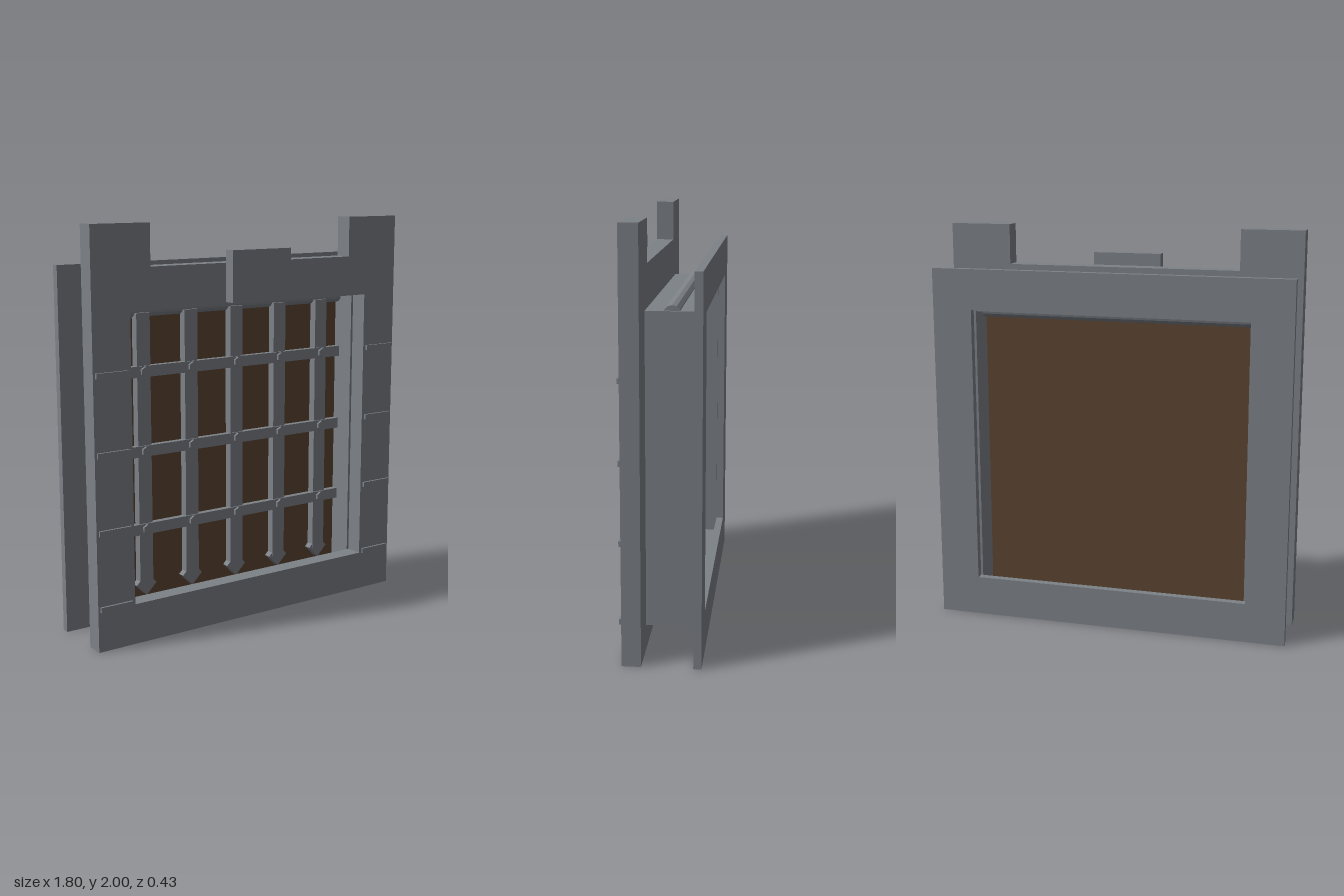
import * as THREE from 'three';

const steel = new THREE.MeshStandardMaterial({ color: 0x7d8288 });
steel.name = 'grey steel';
const wood = new THREE.MeshStandardMaterial({ color: 0x5c4533 });
wood.name = 'brown door';
steel.flatShading = true;

export function createModel() {
  const model = new THREE.Group();
  model.name = 'gate';

  const add = (name, geometry, material = steel) => {
    const mesh = new THREE.Mesh(geometry, material);
    mesh.name = name;
    model.add(mesh);
    return mesh;
  };
  // box given by its limits on each axis
  const box = (name, x0, x1, y0, y1, z0, z1, material) => {
    const mesh = add(name, new THREE.BoxGeometry(x1 - x0, y1 - y0, z1 - z0), material);
    mesh.position.set((x0 + x1) / 2, (y0 + y1) / 2, (z0 + z1) / 2);
    return mesh;
  };
  // upright plate with the door opening cut out
  const frame = (name, outline, z0, z1) => {
    const shape = new THREE.Shape(outline.map(([x, y]) => new THREE.Vector2(x, y)));
    const hole = [[-0.7, 0.2], [-0.7, 1.6], [0.7, 1.6], [0.7, 0.2]];
    shape.holes.push(new THREE.Path(hole.map(([x, y]) => new THREE.Vector2(x, y))));
    const geometry = new THREE.ExtrudeGeometry(shape, { depth: z1 - z0, bevelEnabled: false });
    add(name, geometry).position.z = z0;
  };

  // front frame with raised corners, plain back frame
  frame('frontFrame', [[-0.9, 0], [0.9, 0], [0.9, 2], [0.59, 2], [0.59, 1.8],
    [-0.59, 1.8], [-0.59, 2], [-0.9, 2]], 0.063, 0.152);
  frame('backFrame', [[-0.9, 0], [0.9, 0], [0.9, 1.8], [-0.9, 1.8]], -0.212, -0.175);

  // thin-walled passage joining the frames
  const wall = 0.012;
  for (const [name, x] of [['leftWall', 0.7 - wall], ['rightWall', -0.7]]) {
    box(name, x, x + wall, 0.12, 1.6, -0.175, 0.063);
  }
  box('ceiling', -0.7 + wall, 0.7 - wall, 1.6 - wall, 1.6, -0.175, 0.063);
  box('floor', -0.7 + wall, 0.7 - wall, 0.12, 0.12 + wall, -0.175, 0.063);

  // door sheet and its roller, which pokes through the ceiling
  box('door', -0.677, 0.677, 0.135, 1.56, -0.063, -0.053, wood);
  const roller = add('roller', new THREE.CylinderGeometry(0.04, 0.04, 1.37, 12));
  roller.rotation.z = Math.PI / 2;
  roller.position.set(0, 1.585, -0.058);

  // grille of upright bars with pointed ends, cross bars and rivets
  const barX = [-0.54, -0.27, 0, 0.27, 0.54];
  for (const x of barX) {
    box('uprightBar', x - 0.037, x + 0.037, 0.225, 1.57, -0.048, -0.006);
    box('barPoint', x - 0.04, x + 0.04, 0.185, 0.265, -0.046, -0.008).rotation.z = Math.PI / 4;
  }
  for (const y of [0.51, 0.9, 1.29]) {
    box('crossBar', -0.66, 0.66, y - 0.027, y + 0.027, -0.03, 0.002);
    for (const x of barX) {
      const rivet = add('rivet', new THREE.CylinderGeometry(0.025, 0.025, 0.03, 6));
      rivet.rotation.x = Math.PI / 2;
      rivet.position.set(x, y, 0);
    }
  }

  // block over the opening and short strips on the posts
  box('headBlock', -0.172, 0.172, 1.613, 1.862, 0.152, 0.213);
  for (const side of [-1, 1]) {
    for (const y of [0.21, 0.58, 0.95, 1.32]) {
      const x = side * 0.802;
      box('postStrip', x - 0.086, x + 0.086, y - 0.013, y + 0.013, 0.152, 0.163);
    }
  }
  return model;
}
